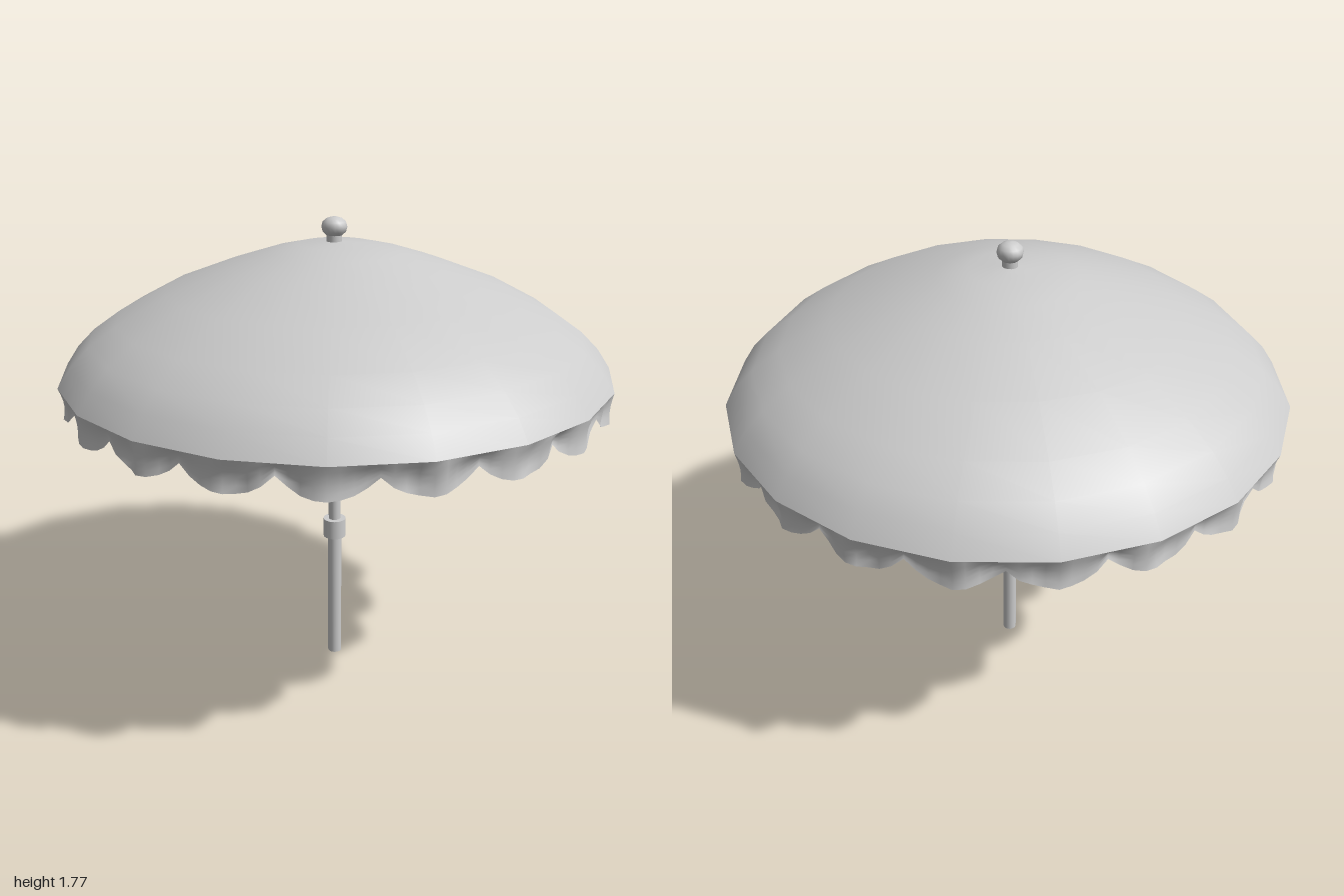
import * as THREE from 'three';

export function createModel() {
  const group = new THREE.Group();
  const grey = new THREE.MeshStandardMaterial({ color: 0xcccccc });
  grey.name = 'light grey';
  const fabric = new THREE.MeshStandardMaterial({ color: 0xcccccc, side: THREE.DoubleSide });
  fabric.name = 'light grey fabric';

  const add = (name, geometry, material = grey, parent = group) => {
    const mesh = new THREE.Mesh(geometry, material);
    mesh.name = name;
    parent.add(mesh);
    return mesh;
  };
  const points = list => list.map(([x, y]) => new THREE.Vector2(x, y));

  const PANELS = 20;
  const STEP = (Math.PI * 2) / PANELS;

  // Domed canopy, twenty sides with flats on the axes
  const dome = points([
    [1.0125, 1.225], [0.965, 1.295], [0.9, 1.36], [0.8, 1.43], [0.62, 1.525],
    [0.4, 1.608], [0.25, 1.655], [0.14, 1.68], [0, 1.69],
  ]);
  add('canopy', new THREE.LatheGeometry(dome, PANELS, STEP / 2), fabric);

  // Hanging scalloped valance with soft inward folds
  const COLS = 8, ROWS = 5, total = PANELS * COLS;
  const pos = [], index = [];
  for (let i = 0; i <= total; i++) {
    const a = (i / total) * Math.PI * 2;
    const local = a - Math.round(a / STEP) * STEP;
    const rim = 1 / Math.cos(local);
    const notch = 1 - Math.abs(local) / (STEP / 2);
    const bottom = 1.112 + 0.065 * Math.pow(notch, 2.4);
    const fold = 0.014 + 0.008 * Math.sin(a * 33) + 0.006 * Math.sin(a * 47 + 1);
    for (let j = 0; j <= ROWS; j++) {
      const t = j / ROWS;
      const r = rim - fold * Math.sin(t * Math.PI * 0.8) - 0.012 * notch * t;
      pos.push(r * Math.sin(a), 1.225 + (bottom - 1.225) * t, r * Math.cos(a));
      if (i < total && j < ROWS) {
        const p = i * (ROWS + 1) + j, q = p + ROWS + 1;
        index.push(p, p + 1, q, q, p + 1, q + 1);
      }
    }
  }
  const valance = new THREE.BufferGeometry();
  valance.setAttribute('position', new THREE.Float32BufferAttribute(pos, 3));
  valance.setIndex(index);
  valance.computeVertexNormals();
  add('valance', valance, fabric);

  // Pole assembly
  const stand = new THREE.Group();
  stand.name = 'stand';
  stand.position.set(-0.006, 0, -0.005);
  group.add(stand);
  const tube = (name, r, y0, y1) => {
    const mesh = add(name, new THREE.CylinderGeometry(r, r, y1 - y0, 16), grey, stand);
    mesh.position.y = (y0 + y1) / 2;
  };
  tube('lowerPole', 0.027, 0, 0.54);
  tube('upperPole', 0.023, 0.54, 1.68);
  tube('collar', 0.044, 0.525, 0.6);
  tube('strutHub', 0.031, 1.065, 1.105);

  // Mushroom finial on a short neck
  tube('finialNeck', 0.028, 1.66, 1.725);
  const knob = points([
    [0, 1.705], [0.026, 1.708], [0.042, 1.722], [0.047, 1.74],
    [0.042, 1.757], [0.028, 1.769], [0.012, 1.774], [0, 1.775],
  ]);
  add('finialKnob', new THREE.LatheGeometry(knob, 18), grey, stand);

  // Eight struts rising from the hub toward the canopy
  const up = new THREE.Vector3(0, 1, 0);
  for (let k = 0; k < 8; k++) {
    const a = (k * Math.PI) / 4;
    const at = (r, y) => new THREE.Vector3(r * Math.sin(a), y, r * Math.cos(a));
    const from = at(0.02, 1.09), to = at(0.64, 1.415);
    const dir = to.clone().sub(from);
    const strut = add('strut', new THREE.CylinderGeometry(0.008, 0.008, dir.length(), 8), grey, stand);
    strut.position.copy(from).add(to).multiplyScalar(0.5);
    strut.quaternion.setFromUnitVectors(up, dir.normalize());
  }

  return group;
}
